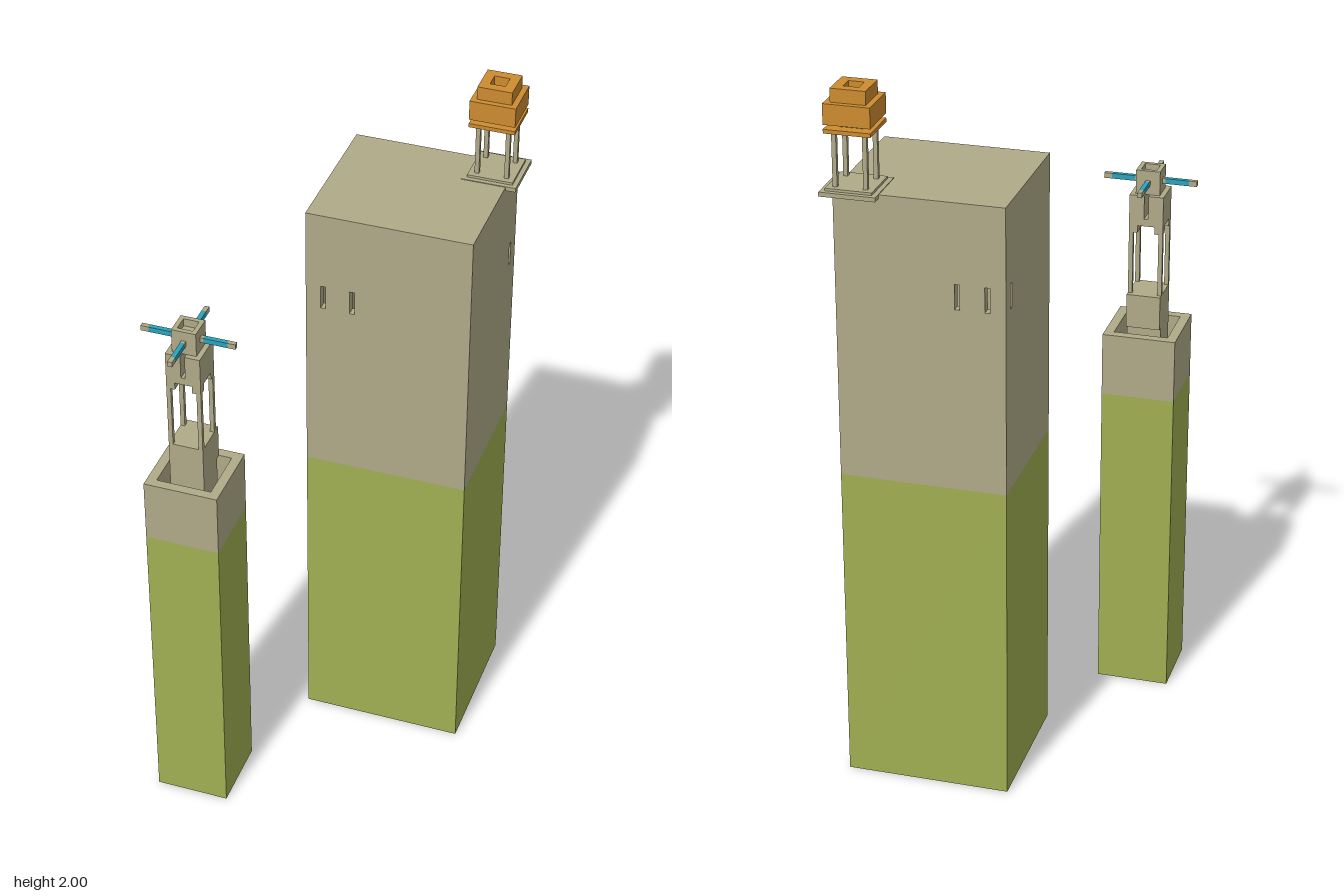
import * as THREE from 'three';

const material = (name, color) => {
  const m = new THREE.MeshStandardMaterial({ color });
  m.name = name;
  return m;
};

export function createModel() {
  const stone = material('stone', 0xb0aa88);
  const grass = material('grass green', 0xa0ae52);
  const orange = material('lantern orange', 0xcc8b30);
  const teal = material('teal', 0x2ba3bb);

  const group = (name, parent, x = 0, z = 0) => {
    const g = new THREE.Group();
    g.name = name;
    g.position.set(x, 0, z);
    parent.add(g);
    return g;
  };
  const add = (name, geometry, mat, parent) => {
    const mesh = new THREE.Mesh(geometry, mat);
    mesh.name = name;
    parent.add(mesh);
    return mesh;
  };
  // Box given by its extents on each axis
  const block = (name, mat, parent, x0, x1, y0, y1, z0, z1) => {
    const mesh = add(name, new THREE.BoxGeometry(x1 - x0, y1 - y0, z1 - z0), mat, parent);
    mesh.position.set((x0 + x1) / 2, (y0 + y1) / 2, (z0 + z1) / 2);
    return mesh;
  };
  // Square slab centred on its group
  const slab = (name, mat, parent, w, y0, y1) =>
    block(name, mat, parent, -w / 2, w / 2, y0, y1, -w / 2, w / 2);
  const rect = (P, x0, x1, y0, y1) =>
    new P([[x0, y0], [x1, y0], [x1, y1], [x0, y1]].map(([x, y]) => new THREE.Vector2(x, y)));
  // Square ring standing upright, open in the middle
  const ring = (name, mat, parent, outer, inner, y0, y1) => {
    const s = rect(THREE.Shape, -outer / 2, outer / 2, -outer / 2, outer / 2);
    s.holes.push(rect(THREE.Path, -inner / 2, inner / 2, -inner / 2, inner / 2));
    const g = new THREE.ExtrudeGeometry(s, { depth: y1 - y0, bevelEnabled: false });
    g.rotateX(-Math.PI / 2).translate(0, y0, 0);
    return add(name, g, mat, parent);
  };
  // Wall panel with slit windows
  const T = 0.026;
  const wall = (name, parent, a0, a1, y0, y1, slits) => {
    const s = rect(THREE.Shape, a0, a1, y0, y1);
    for (const c of slits) s.holes.push(rect(THREE.Path, c - 0.007, c + 0.007, 1.435, 1.505));
    return add(name, new THREE.ExtrudeGeometry(s, { depth: T, bevelEnabled: false }), stone, parent);
  };
  const corners = [[-1, -1], [1, -1], [1, 1], [-1, 1]];

  const model = new THREE.Group();
  model.name = 'twoTowers';

  // Large tower: solid green base, hollow stone upper part
  const big = group('largeTower', model);
  const X0 = -0.085, X1 = 0.374, Z0 = -0.445, Z1 = -0.03, SPLIT = 0.92, TOP = 1.728;
  block('largeBase', grass, big, X0, X1, 0, SPLIT, Z0, Z1);
  for (const z of [Z0, Z1 - T])
    wall('slitWall', big, X0, X1, SPLIT, TOP, [-0.036, 0.045]).position.z = z;
  for (const x of [X0 + T, X1]) {
    const side = wall('sideWall', big, Z0 + T, Z1 - T, SPLIT, TOP, [-0.395]);
    side.rotation.y = -Math.PI / 2;
    side.position.x = x;
  }
  block('roof', stone, big, X0 + T, X1 - T, TOP - T, TOP, Z0 + T, Z1 - T);

  // Lantern turret on the back corner of the roof
  const turret = group('lanternTurret', model, 0.326, -0.397);
  slab('turretPlate', stone, turret, 0.152, 1.718, 1.73);
  slab('turretStep', stone, turret, 0.126, 1.73, 1.737);
  for (const [sx, sz] of corners) {
    const x = sx * 0.041, z = sz * 0.041;
    block('turretPost', stone, turret, x - 0.006, x + 0.006, 1.737, 1.884, z - 0.006, z + 0.006);
  }
  slab('lanternPlate', orange, turret, 0.126, 1.884, 1.895);
  slab('lanternNeck', orange, turret, 0.066, 1.895, 1.907);
  slab('lanternBody', orange, turret, 0.126, 1.907, 1.963);
  ring('lanternTop', orange, turret, 0.095, 0.042, 1.963, 2.0);

  // Small tower with a sunken green floor inside its parapet
  const small = group('smallTower', model, -0.271, 0.339);
  slab('smallBase', grass, small, 0.208, 0, SPLIT);
  ring('parapet', stone, small, 0.208, 0.154, SPLIT, 1.102);

  // Belfry: pedestal, four posts, slotted crown
  const belfry = group('belfry', small, -0.001, 0.002);
  const H = 0.048, P = 0.012;
  slab('pedestal', stone, belfry, 2 * H, SPLIT, 1.213);
  block('pedestalLedge', stone, belfry, -H, H, 1.115, 1.213, -H - 0.015, -H);
  for (const [sx, sz] of corners) {
    const x = sx * (H - P / 2), z = sz * (H - P / 2);
    block('belfryPost', stone, belfry, x - P / 2, x + P / 2, 1.213, 1.395, z - P / 2, z + P / 2);
    const bx = sx * (H - P), bz = sz * (H - P);
    block('archBracket', stone, belfry, bx - P, bx + P, 1.395, 1.416, bz - P, bz + P);
  }
  slab('crownSill', stone, belfry, 2 * H, 1.416, 1.437);
  block('crownHalf', stone, belfry, -H, -0.006, 1.437, 1.505, -H, H);
  block('crownHalf', stone, belfry, 0.006, H, 1.437, 1.505, -H, H);

  // Hollow head carrying four arms with teal middles
  slab('headFloor', stone, belfry, 0.068, 1.505, 1.552);
  ring('headRim', stone, belfry, 0.068, 0.043, 1.552, 1.574);
  for (let i = 0; i < 4; i++) {
    const arm = group('arm', belfry);
    arm.rotation.y = (i * Math.PI) / 2;
    const parts = [['armRoot', stone, 0.034, 0.043], ['armBand', teal, 0.043, 0.109], ['armTip', stone, 0.109, 0.131]];
    for (const [name, mat, a, b] of parts)
      block(name, mat, arm, a, b, 1.531, 1.546, -0.0065, 0.0065);
  }

  return model;
}
